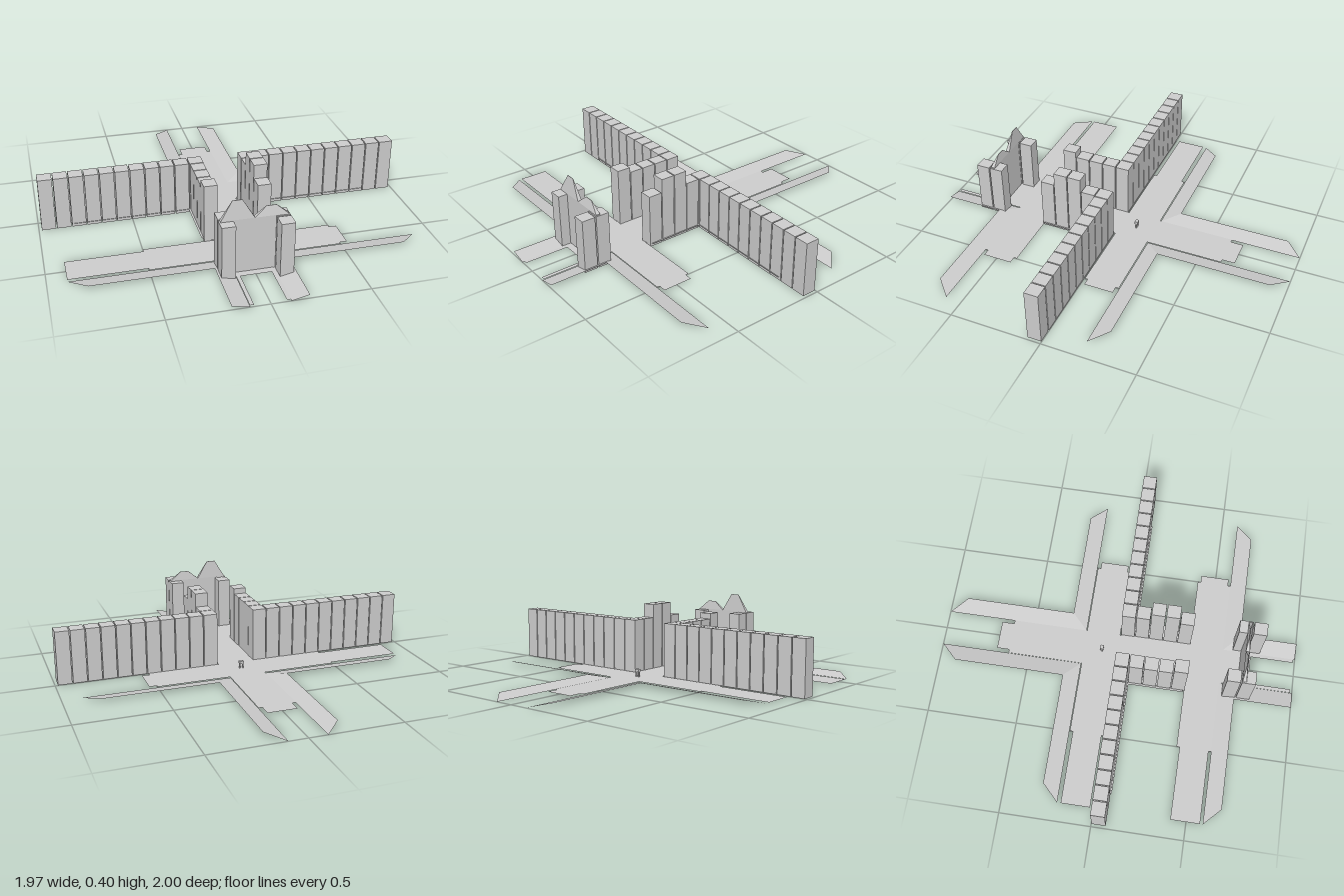
import * as THREE from 'three';

const grey = new THREE.MeshStandardMaterial({ color: 0xcccccc, flatShading: true });
const sheet = new THREE.MeshStandardMaterial({ color: 0xcccccc, flatShading: true, side: THREE.DoubleSide });

export function createModel() {
  const root = new THREE.Group();

  function add(name, geometry, material = grey) {
    const mesh = new THREE.Mesh(geometry, material);
    mesh.name = name;
    root.add(mesh);
    return mesh;
  }

  // Box given by its x, y and z limits
  function box(name, x0, x1, y0, y1, z0, z1) {
    add(name, new THREE.BoxGeometry(x1 - x0, y1 - y0, z1 - z0))
      .position.set((x0 + x1) / 2, (y0 + y1) / 2, (z0 + z1) / 2);
  }

  // Flat paving
  function paving(name, x0, x1, z0, z1, y) {
    const g = new THREE.PlaneGeometry(x1 - x0, z1 - z0).rotateX(-Math.PI / 2);
    add(name, g, sheet).position.set((x0 + x1) / 2, y, (z0 + z1) / 2);
  }

  // Sloped kerb: the first two corners lie low, the last two high
  function kerb(name, low0, low1, high1, high0) {
    for (const s of [-1, 1]) {
      const pts = [low0, low1, high1, high0]
        .flatMap(([x, z], i) => [s * x, i < 2 ? 0 : 0.02, z]);
      const g = new THREE.BufferGeometry();
      g.setAttribute('position', new THREE.Float32BufferAttribute(pts, 3));
      g.setIndex(s > 0 ? [0, 2, 1, 0, 3, 2] : [0, 1, 2, 0, 2, 3]);
      g.computeVertexNormals();
      add(name, g, sheet);
    }
  }

  // Main street and the two cross streets
  paving('mainStreet', -0.1, 0.1, -0.62, 0.75, 0.003);
  paving('mainStreetEnd', -0.08, 0.08, -0.69, -0.62, 0.003);
  for (const z of [-0.1, 0.495]) {
    paving('crossStreet', -0.9, 0.54, z - 0.08, z + 0.08, 0.002);
    paving('crossStreetCentre', -0.5, 0.5, z - 0.097, z + 0.095, 0.003);
  }
  for (const s of [-1, 1]) {
    paving('frontLane', s * 0.09 - 0.01, s * 0.09 + 0.01, 0.75, 0.99, 0.003);
  }

  // Mitred kerbs on both sides of the main street
  kerb('backStreetKerb', [0.1, -0.2], [0.1, -1], [0.19, -0.91], [0.19, -0.29]);
  kerb('backCrossKerb', [0.1, -0.2], [0.9, -0.2], [0.81, -0.29], [0.19, -0.29]);
  kerb('rowKerb', [0.1, 0], [0.9, 0], [0.81, 0.085], [0.19, 0.085]);
  kerb('middleStreetKerb', [0.1, 0], [0.1, 0.41], [0.19, 0.39], [0.19, 0.085]);
  kerb('frontCrossKerb', [0.1, 0.59], [0.9, 0.59], [0.81, 0.68], [0.19, 0.68]);
  kerb('frontStreetKerb', [0.1, 0.59], [0.1, 1], [0.19, 1], [0.19, 0.68]);

  // Long rows of houses, then the houses along the main street
  const w = 0.075, pitch = 0.0805, roof = 0.295;
  const streetRoofs = { '-1': [roof, roof, roof, 0.325], '1': [roof, 0.37, 0.37, roof] };
  for (const s of [-1, 1]) {
    for (let i = 0; i < 11; i++) {
      const x = s * (0.142 + i * pitch);
      box('rowHouse', x - w / 2, x + w / 2, 0, roof, 0.003, 0.078);
    }
    streetRoofs[s].forEach((h, i) => {
      const z = 0.003 + (i + 1) * pitch;
      box('streetHouse', s * 0.142 - 0.036, s * 0.142 + 0.036, 0, h, z, z + w);
    });
    // Paired gate towers, staggered from one side to the other
    const z0 = s < 0 ? 0.61 : 0.645;
    for (const z of [z0, z0 + 0.08]) {
      box('gateTower', s * 0.142 - 0.035, s * 0.142 + 0.035, 0, roof, z, z + 0.073);
    }
  }

  // Gate wall with two wedge-shaped crests
  box('gateWall', -0.17, 0.17, 0, 0.3, 0.692, 0.712);
  for (const [s, top] of [[-1, 0.4], [1, 0.35]]) {
    const shape = new THREE.Shape([[0, 0.3], [0.06, top], [0.11, top], [0.17, 0.3]]
      .map(([x, y]) => new THREE.Vector2(s * x, y)));
    const g = new THREE.ExtrudeGeometry(shape, { depth: 0.022, bevelEnabled: false });
    const p = g.attributes.position;
    for (let i = 0; i < p.count; i++) {
      p.setZ(i, p.getY(i) > 0.31 ? 0.697 + p.getZ(i) * 0.1 : 0.691 + p.getZ(i));
    }
    g.computeVertexNormals();
    add('gateCrest', g);
  }

  // Small standing marker at the crossing
  for (const s of [-1, 1]) box('markerLeg', s * 0.009 - 0.003, s * 0.009 + 0.003, 0.003, 0.03, -0.098, -0.09);
  box('markerTop', -0.012, 0.012, 0.03, 0.045, -0.103, -0.085);

  return root;
}
